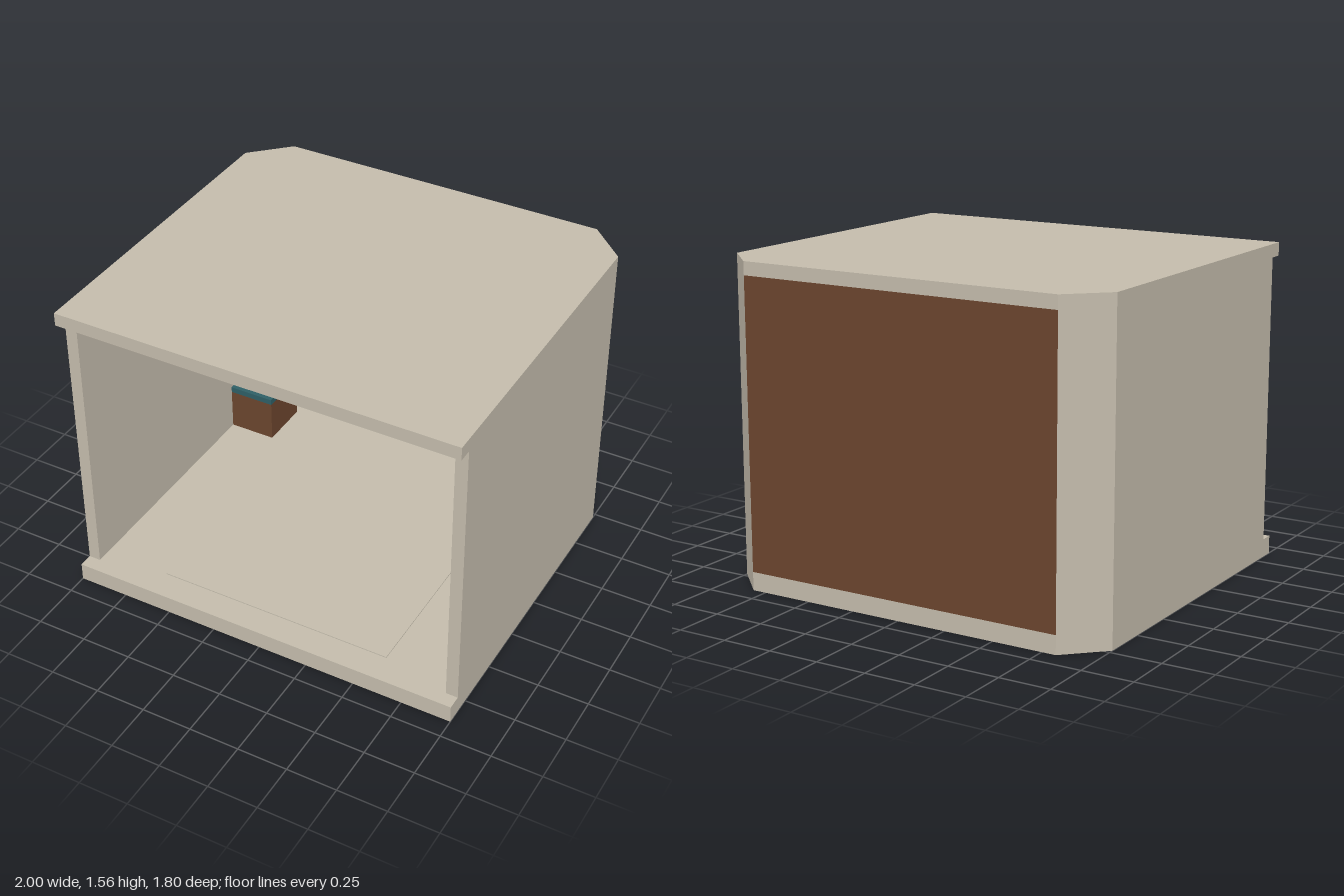
import * as THREE from 'three';

const shell = new THREE.MeshStandardMaterial({ color: 0xc4bcac });
shell.name = 'warm beige';
const wood = new THREE.MeshStandardMaterial({ color: 0x6b452e });
wood.name = 'brown';
const cushion = new THREE.MeshStandardMaterial({ color: 0x2e5f66 });
cushion.name = 'teal';

export function createModel() {
  const room = new THREE.Group();
  room.name = 'cabin';

  // Box given by its limits on each axis
  const box = (name, material, [x0, x1], [y0, y1], [z0, z1]) => {
    const mesh = new THREE.Mesh(new THREE.BoxGeometry(x1 - x0, y1 - y0, z1 - z0), material);
    mesh.position.set((x0 + x1) / 2, (y0 + y1) / 2, (z0 + z1) / 2);
    mesh.name = name;
    room.add(mesh);
  };

  // Plan outline of [x, z] points raised from y0 to y1
  const slab = (name, points, y0, y1) => {
    const shape = new THREE.Shape(points.map(([x, z]) => new THREE.Vector2(x, -z)));
    const geometry = new THREE.ExtrudeGeometry(shape, { depth: y1 - y0, bevelEnabled: false });
    geometry.rotateX(-Math.PI / 2).translate(0, y0, 0);
    const mesh = new THREE.Mesh(geometry, shell);
    mesh.name = name;
    room.add(mesh);
  };

  const floorTop = 0.09, ceilingBottom = 1.495, ceilingTop = 1.56;
  const wallY = [floorTop, ceilingBottom];

  // Floor and ceiling with clipped back corners
  const plan = [[-1, 0.9], [1, 0.9], [1, -0.725], [0.82, -0.9], [-0.82, -0.9], [-1, -0.725]];
  slab('floor', plan, 0, floorTop);
  slab('ceiling', plan, ceilingBottom, ceilingTop);
  box('floorPanel', shell, [-0.6, 0.6], [floorTop, floorTop + 0.005], [-0.76, 0.76]);

  // Back wall and its display panel
  box('backWall', wood, [-0.82, 0.82], wallY, [-0.9, -0.84]);
  box('backDisplay', shell, [-0.625, 0.62], [0.5, 0.92], [-0.84, -0.82]);

  for (const s of [-1, 1]) {
    const side = s < 0 ? 'right' : 'left';
    const span = (a, b) => (s > 0 ? [a, b] : [-b, -a]);

    // Side wall with the slanted corner in one piece
    const wall = [[1, 0.83], [1, -0.725], [0.82, -0.9], [0.8, -0.84], [0.94, -0.7], [0.94, 0.83]];
    slab(side + 'Wall', wall.map(([x, z]) => [s * x, z]), ...wallY);

    // Cushioned seat against the wall
    box(side + 'SeatBase', wood, span(0.7, 0.94), [floorTop, 0.305], [-0.67, -0.41]);
    box(side + 'SeatCushion', cushion, span(0.7, 0.94), [0.305, 0.335], [-0.67, -0.41]);

    // Small box under the ceiling corner
    box(side + 'CeilingBox', wood, span(0.79, 0.905), [1.415, ceilingBottom], [-0.8, -0.68]);
  }

  // Control box on the left wall
  box('wallControl', wood, [0.87, 0.94], [0.58, 0.87], [-0.15, 0.15]);

  return room;
}
